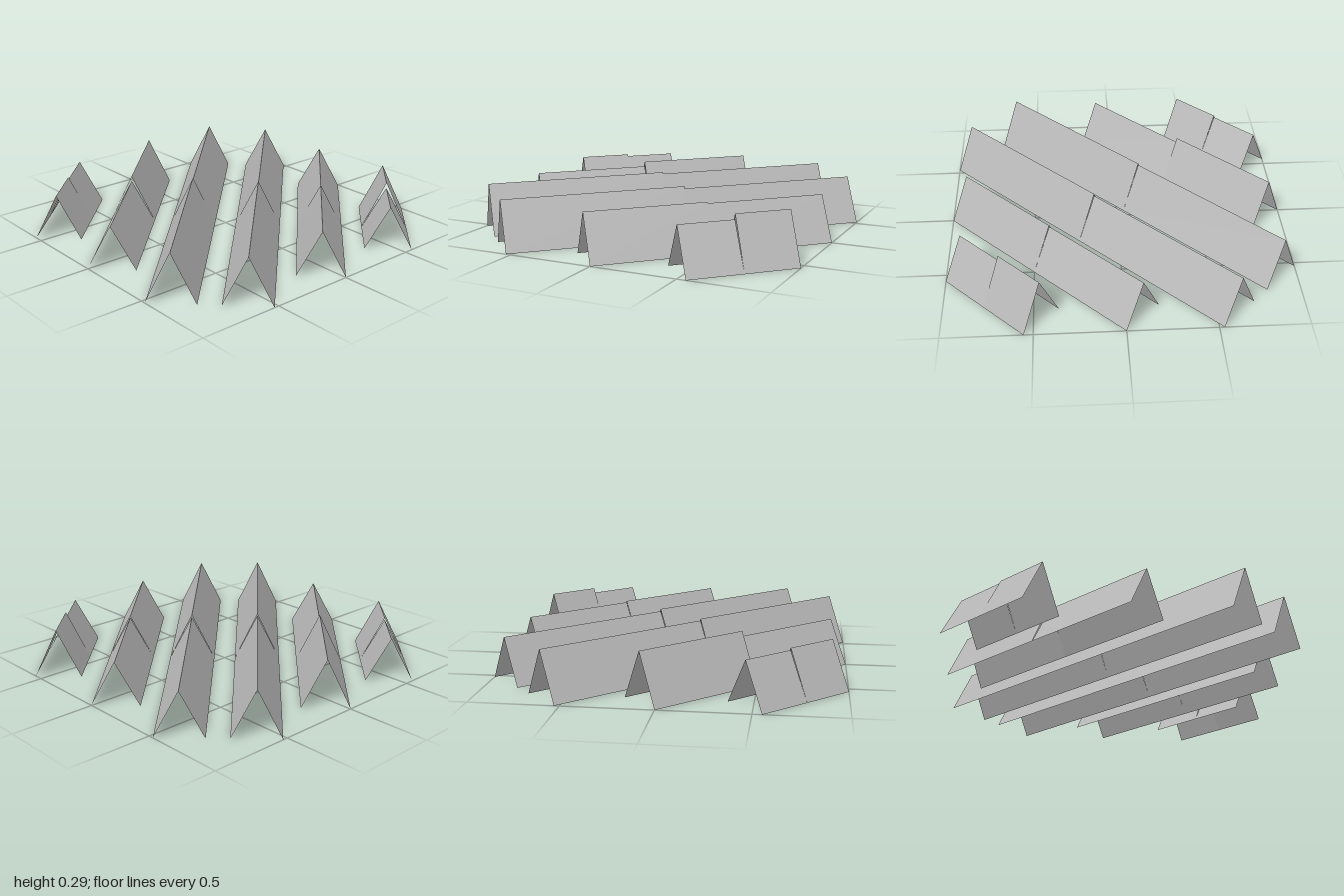
import * as THREE from 'three';

const HALF_WIDTH = 0.135;

// Thin open A-frame roof running along x from x0 to x1, ridge at height h
function roofGeometry(x0, x1, h) {
  const positions = [];
  for (const s of [1, -1]) {
    const a = [x0, 0, s * HALF_WIDTH], b = [x1, 0, s * HALF_WIDTH];
    const c = [x1, h, 0], d = [x0, h, 0];
    const corners = s > 0 ? [a, b, c, a, c, d] : [a, c, b, a, d, c];
    positions.push(...corners.flat());
  }
  const geometry = new THREE.BufferGeometry();
  geometry.setAttribute('position', new THREE.Float32BufferAttribute(positions, 3));
  geometry.computeVertexNormals();
  return geometry;
}

export function createModel() {
  const model = new THREE.Group();
  model.name = 'diagonalRidgeRows';
  const grey = new THREE.MeshStandardMaterial({ color: 0xb8b8b8, side: THREE.DoubleSide });
  grey.name = 'panelGrey';

  // Each row: centre on the x = z diagonal, half length, left and right ridge heights
  const rows = [
    { centre: -0.681, half: 0.318, left: 0.27, right: 0.258 },
    { centre: -0.405, half: 0.707, left: 0.256, right: 0.286 },
    { centre: -0.14, half: 1.081, left: 0.286, right: 0.276 },
    { centre: 0.14, half: 1.081, left: 0.276, right: 0.262 },
    { centre: 0.405, half: 0.707, left: 0.263, right: 0.255 },
    { centre: 0.681, half: 0.318, left: 0.255, right: 0.286 },
  ];

  rows.forEach(({ centre, half, left, right }, i) => {
    const row = new THREE.Group();
    row.name = `ridgeRow${i + 1}`;
    row.position.set(centre, 0, centre);
    row.rotation.y = Math.PI / 4;

    // Two roof halves meet at the middle with a small step
    const leftRoof = new THREE.Mesh(roofGeometry(-half, 0, left), grey);
    leftRoof.name = 'leftRoof';
    const rightRoof = new THREE.Mesh(roofGeometry(0, half, right), grey);
    rightRoof.name = 'rightRoof';
    row.add(leftRoof, rightRoof);
    model.add(row);
  });
  return model;
}
